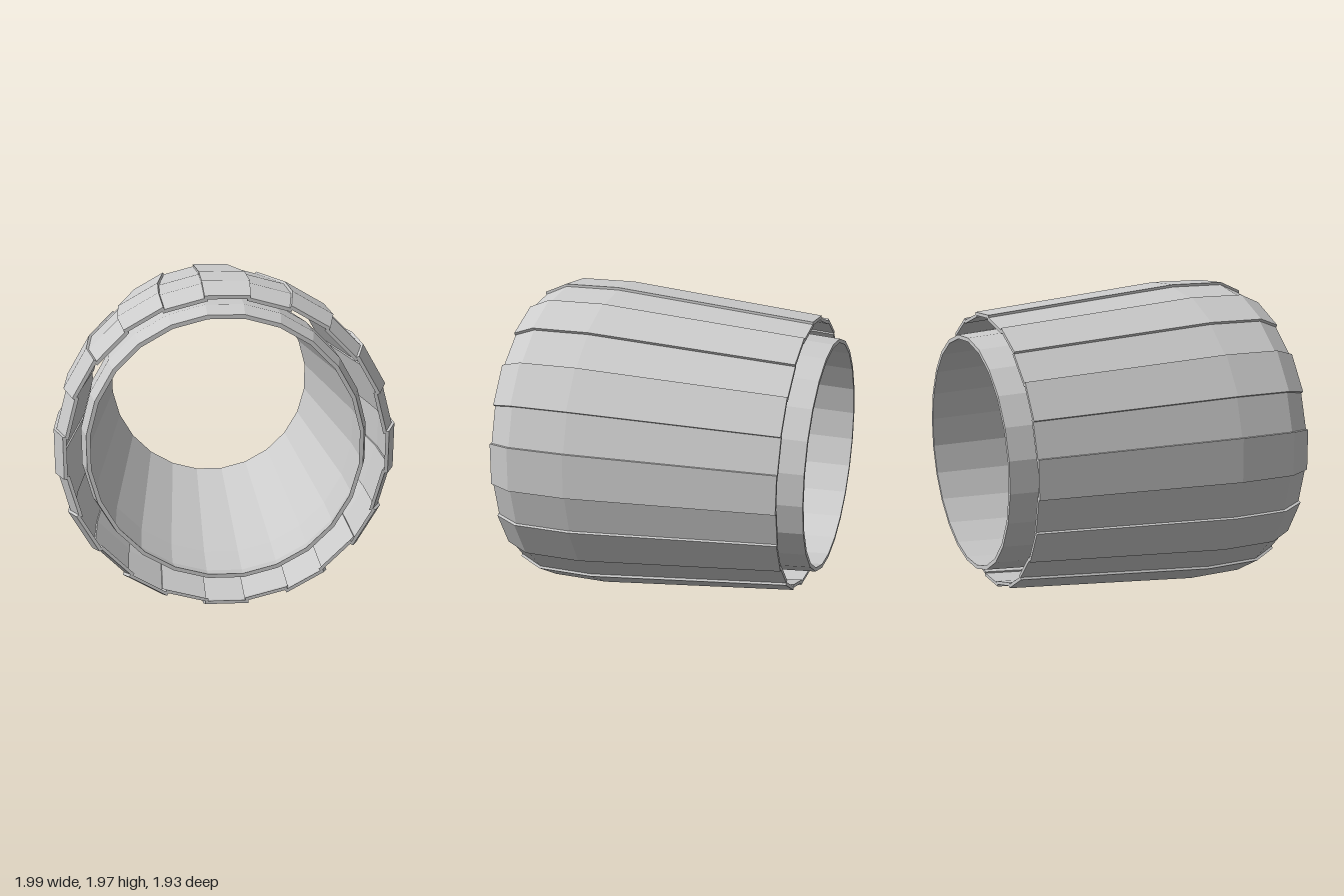
import * as THREE from 'three';

const COUNT = 24;
const STEP = (Math.PI * 2) / COUNT;
const material = new THREE.MeshStandardMaterial({ color: 0xcccccc, flatShading: true });

// A thin bent plate at the top of the ring, running from front to back.
// profile: [z, distance of the outer face from the axis]
function plateGeometry(profile, thickness, widen) {
  const positions = [];
  const index = [];
  for (const [z, r] of profile) {
    const w = r * Math.tan(STEP / 2) * widen;
    const s = r - thickness;
    positions.push(-w, r, z, w, r, z, w, s, z, -w, s, z);
  }
  for (let i = 0; i < profile.length - 1; i++) {
    for (let k = 0; k < 4; k++) {
      const a = i * 4 + k, b = i * 4 + ((k + 1) % 4);
      index.push(a, b, b + 4, a, b + 4, a + 4);
    }
  }
  const e = (profile.length - 1) * 4;
  index.push(0, 3, 2, 0, 2, 1); // front end
  index.push(e, e + 1, e + 2, e, e + 2, e + 3); // back end
  const geometry = new THREE.BufferGeometry();
  geometry.setAttribute('position', new THREE.Float32BufferAttribute(positions, 3));
  geometry.setIndex(index);
  geometry.computeVertexNormals();
  return geometry;
}

// Faceted inner tube, with walls of even thickness
function tubeGeometry(profile, thickness) {
  const k = 1 / Math.cos(STEP / 2);
  const outer = profile.map(([z, r]) => new THREE.Vector2(r * k, z)).reverse();
  const inner = profile.map(([z, r]) => new THREE.Vector2((r - thickness) * k, z));
  const geometry = new THREE.LatheGeometry([...outer, ...inner, outer[0].clone()], COUNT, STEP / 2);
  return geometry.rotateX(Math.PI / 2);
}

export function createModel() {
  const model = new THREE.Group();
  model.name = 'nozzle';

  const nozzle = new THREE.Group();
  nozzle.name = 'petalsAndTube';

  // Two alternating layers of petals: raised ones overlap the sunken ones
  const raised = plateGeometry([[0.935, 0.922], [0.79, 0.983], [0.43, 0.983], [-0.82, 0.853]], 0.02, 1.04);
  const sunken = plateGeometry([[0.93, 0.908], [0.785, 0.969], [0.43, 0.969], [-0.82, 0.84]], 0.02, 1.06);
  const petals = new THREE.Group();
  petals.name = 'petals';
  for (let i = 0; i < COUNT; i++) {
    const isRaised = i % 2 === 0;
    const petal = new THREE.Mesh(isRaised ? raised : sunken, material);
    petal.name = isRaised ? 'raisedPetal' : 'sunkenPetal';
    petal.rotation.z = i * STEP;
    petals.add(petal);
  }
  nozzle.add(petals);

  // Inner tube, sticking out at the back
  const tube = new THREE.Mesh(
    tubeGeometry([[0.84, 0.797], [0.7, 0.833], [0.4, 0.833], [-0.945, 0.722]], 0.024),
    material
  );
  tube.name = 'innerTube';
  nozzle.add(tube);

  // The whole nozzle is slightly oval and leans a little off axis
  nozzle.scale.x = 1.01;
  nozzle.rotation.set(-0.0135, -0.027, 0);
  nozzle.position.set(0.015, 0.978, 0);
  model.add(nozzle);
  return model;
}
